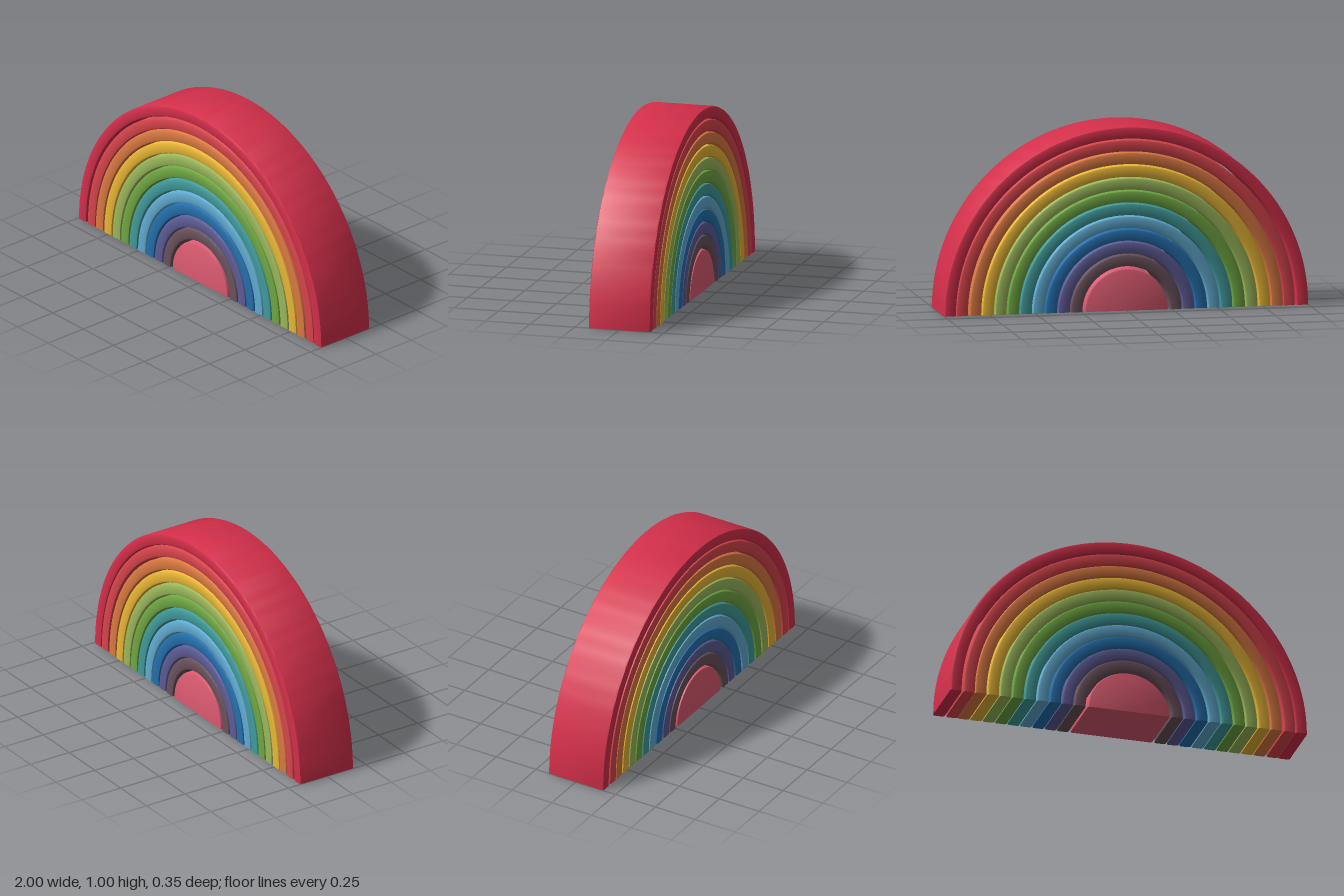
import * as THREE from 'three';
import { toCreasedNormals, mergeGeometries } from 'three/addons/utils/BufferGeometryUtils.js';

const HALF_DEPTH = 0.173;
const BEVEL = 0.012;

// Cross-section (radius, depth), counter-clockwise, with rounded corners
function section(inner, outer) {
  const pts = [];
  const corner = (cx, cy, start) => {
    for (let i = 0; i <= 2; i++) {
      const a = start + (i * Math.PI) / 4;
      pts.push(new THREE.Vector2(cx + BEVEL * Math.cos(a), cy + BEVEL * Math.sin(a)));
    }
  };
  const d = HALF_DEPTH - BEVEL;
  if (inner === 0) pts.push(new THREE.Vector2(0, -HALF_DEPTH));
  corner(outer - BEVEL, -d, -Math.PI / 2);
  corner(outer - BEVEL, d, 0);
  if (inner === 0) {
    pts.push(new THREE.Vector2(0, HALF_DEPTH));
  } else {
    corner(inner + BEVEL, d, Math.PI / 2);
    corner(inner + BEVEL, -d, Math.PI);
  }
  return pts;
}

// Half turn of the section around z, closed by flat feet on the ground
function halfRing(inner, outer) {
  const pts = section(inner, outer);
  const profile = inner === 0 ? pts : [...pts, pts[0].clone()];
  const sweep = new THREE.LatheGeometry(profile, 64, -Math.PI / 2, Math.PI);
  sweep.rotateX(-Math.PI / 2);
  const foot = new THREE.ShapeGeometry(new THREE.Shape(pts)).rotateX(Math.PI / 2);
  const otherFoot = foot.clone().rotateY(Math.PI);
  const parts = [sweep, foot, otherFoot].map((g) => g.toNonIndexed());
  return toCreasedNormals(mergeGeometries(parts), 0.4);
}

export function createModel() {
  const group = new THREE.Group();
  group.name = 'stackingRainbow';

  const add = (name, inner, outer, color) => {
    const mesh = new THREE.Mesh(halfRing(inner, outer), new THREE.MeshStandardMaterial({ color }));
    mesh.name = name;
    group.add(mesh);
    return mesh;
  };

  // Nested arches, outermost first
  const arches = [
    ['crimsonArch', 0xd42f4a], ['redArch', 0xd9454c], ['orangeArch', 0xdc7a42],
    ['yellowArch', 0xebb836], ['limeArch', 0x9cb95c], ['greenArch', 0x70a843],
    ['tealArch', 0x419c9c], ['skyBlueArch', 0x62acd2], ['blueArch', 0x2470ae],
    ['indigoArch', 0x5e5c96], ['plumArch', 0x6a525c],
  ];
  const step = 0.0695;
  arches.forEach(([name, color], i) => {
    const outer = 1 - i * step;
    const mesh = add(name, outer - step + 0.005, outer, color);
    // the second arch sits slightly off centre, leaving a sliver of a gap
    if (i === 1) mesh.position.x = 0.004;
  });

  // Solid half disc in the middle
  add('core', 0, 0.229, 0xdb5a70);
  return group;
}
